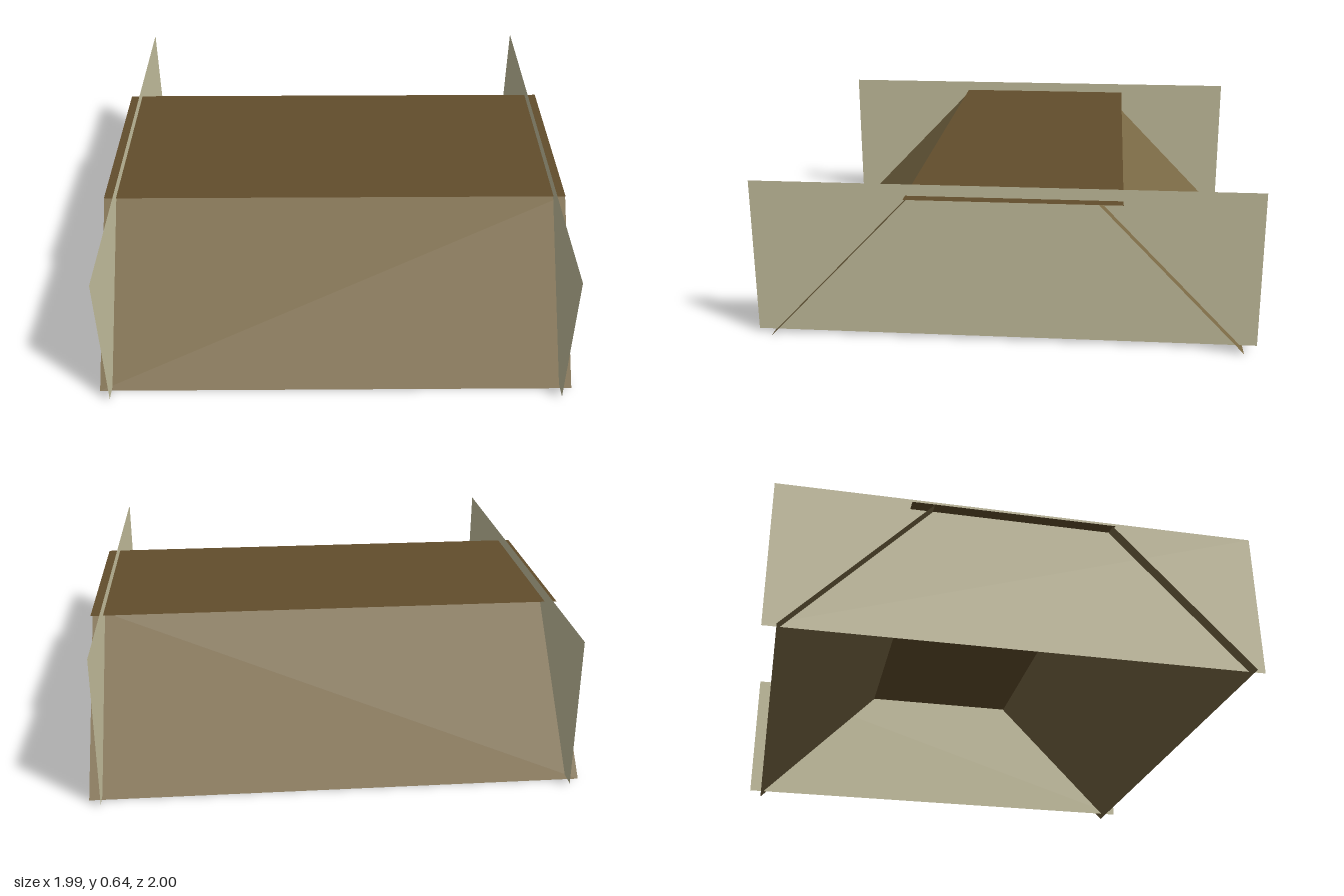
import * as THREE from 'three';

const mat = (name, color) => {
  const m = new THREE.MeshStandardMaterial({ color, side: THREE.DoubleSide });
  m.name = name;
  return m;
};

// Flat sheet spanning the full width, from edge (z0, y0) to edge (z1, y1)
function sheet(name, width, [z0, y0], [z1, y1], material) {
  const dz = z1 - z0, dy = y1 - y0;
  const geo = new THREE.PlaneGeometry(width, Math.hypot(dz, dy));
  geo.rotateX(Math.atan2(dz, dy));
  geo.translate(0, (y0 + y1) / 2, (z0 + z1) / 2);
  const mesh = new THREE.Mesh(geo, material);
  mesh.name = name;
  return mesh;
}

export function createModel() {
  const model = new THREE.Group();
  model.name = 'rampPlatform';

  const beige = mat('beige', 0xc8c2a0);
  const tan = mat('tan', 0x7a6945);
  const brown = mat('brown', 0x624d2c);

  const width = 1.994, topY = 0.597;

  // Flat deck, overhanging the back ramp slightly
  model.add(sheet('deck', width, [0.381, topY], [-0.461, topY], brown));

  // Sloping ramps at front and back
  model.add(sheet('frontRamp', width, [0.94, 0], [0.37, topY - 0.002], tan));
  model.add(sheet('backRamp', width, [-0.945, 0], [-0.37, topY - 0.002], tan));

  // Upright side walls, set in a little from the ramp ends
  for (const [name, side] of [['leftWall', 1], ['rightWall', -1]]) {
    const geo = new THREE.PlaneGeometry(2, 0.63);
    geo.rotateY(side * Math.PI / 2);
    geo.translate(side * 0.945, 0.328, 0);
    const wall = new THREE.Mesh(geo, beige);
    wall.name = name;
    model.add(wall);
  }
  return model;
}
